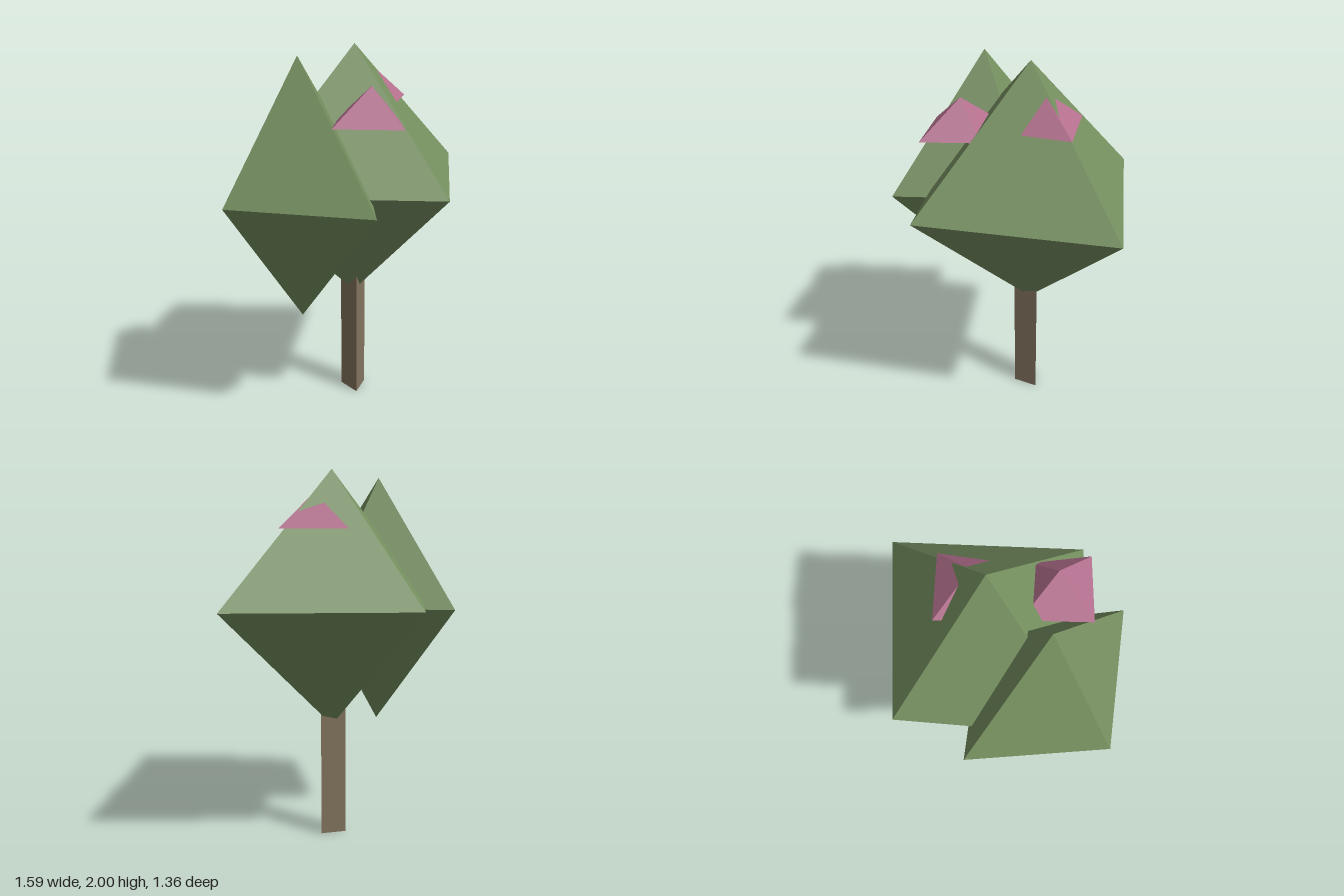
import * as THREE from 'three';

const leafMaterial = new THREE.MeshStandardMaterial({ color: 0x769060, flatShading: true });
const blossomMaterial = new THREE.MeshStandardMaterial({ color: 0xb4708e, flatShading: true });
const barkMaterial = new THREE.MeshStandardMaterial({ color: 0x84745f, flatShading: true });

// Four-sided double pyramid: a ring of corners at height y, joined to a top and a bottom point.
// With bottom equal to y it becomes a pyramid with a flat base.
function bipyramid(name, material, { x, z, y, top, bottom, left, right, front, back }) {
  const ring = [[right, z], [x, back], [left, z], [x, front]]
    .map(([px, pz]) => new THREE.Vector3(px, y, pz));
  const apex = new THREE.Vector3(x, top, z);
  const foot = new THREE.Vector3(x, bottom, z);
  const points = [];
  ring.forEach((corner, i) => {
    const next = ring[(i + 1) % ring.length];
    points.push(corner, next, apex, next, corner, foot);
  });
  const geometry = new THREE.BufferGeometry().setFromPoints(points);
  geometry.computeVertexNormals();
  const mesh = new THREE.Mesh(geometry, material);
  mesh.name = name;
  return mesh;
}

export function createModel() {
  const tree = new THREE.Group();
  tree.name = 'tree';

  // Three-sided trunk with one corner towards +x
  const trunkHeight = 0.85;
  const trunk = new THREE.Mesh(
    new THREE.CylinderGeometry(0.08, 0.08, trunkHeight, 3, 1, false, Math.PI / 2),
    barkMaterial
  );
  trunk.name = 'trunk';
  trunk.position.set(0.042, trunkHeight / 2, -0.024);
  tree.add(trunk);

  // Two overlapping masses of foliage
  tree.add(bipyramid('mainFoliage', leafMaterial, {
    x: 0.045, z: -0.028, y: 1.31, top: 2, bottom: 0.62,
    left: -0.7, right: 0.79, front: 0.68, back: -0.68,
  }));
  tree.add(bipyramid('sideFoliage', leafMaterial, {
    x: -0.34, z: -0.003, y: 1.275, top: 1.965, bottom: 0.585,
    left: -0.8, right: 0.11, front: 0.59, back: -0.56,
  }));

  // Blossoms half sunk into the foliage
  tree.add(bipyramid('frontBlossom', blossomMaterial, {
    x: -0.11, z: 0.285, y: 1.65, top: 1.83, bottom: 1.65,
    left: -0.36, right: 0.07, front: 0.525, back: 0.04,
  }));
  tree.add(bipyramid('sideBlossom', blossomMaterial, {
    x: 0.158, z: -0.018, y: 1.7, top: 1.88, bottom: 1.7,
    left: -0.09, right: 0.4, front: 0.165, back: -0.27,
  }));

  return tree;
}
